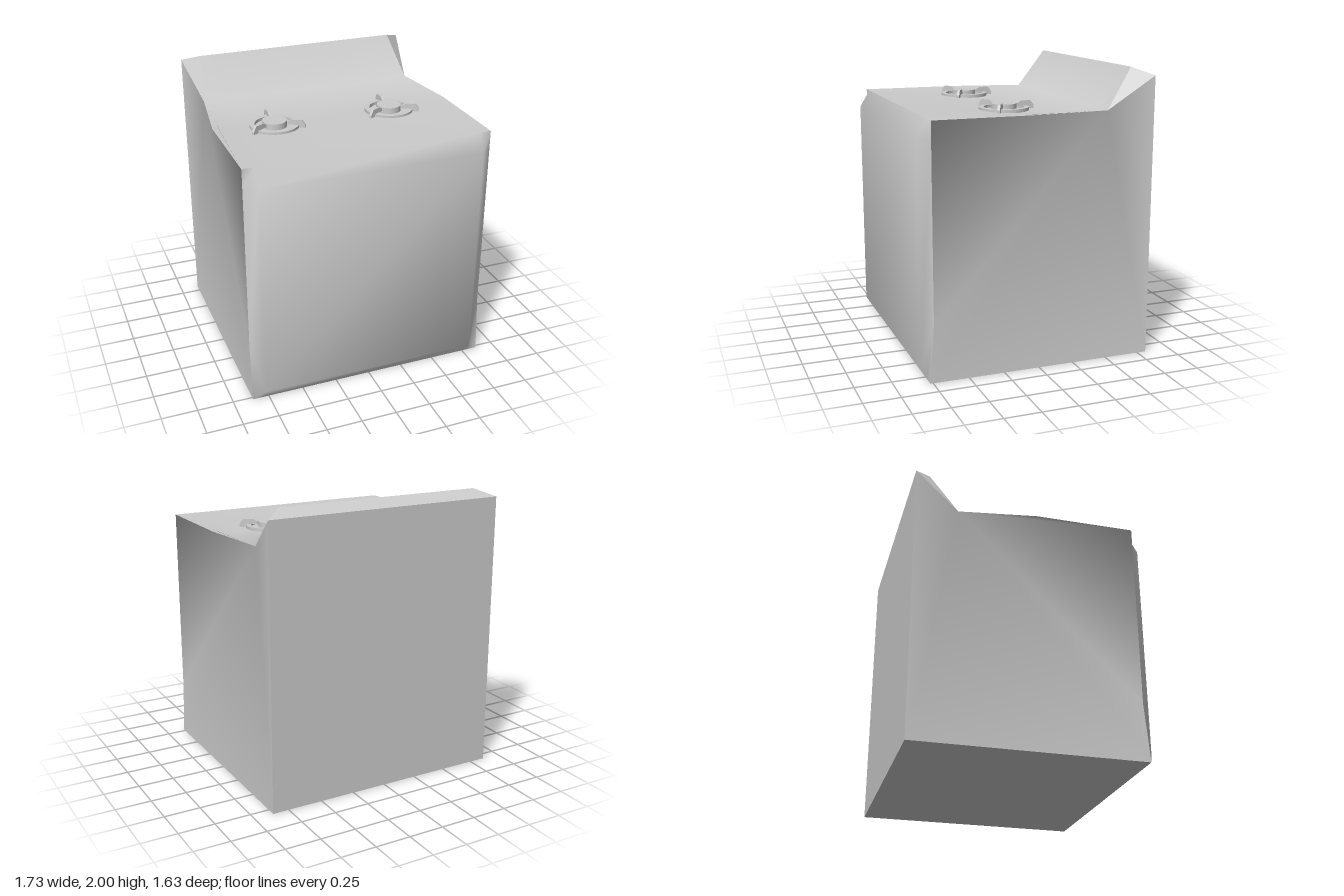
import * as THREE from 'three';

const material = new THREE.MeshStandardMaterial({ color: 0xcccccc });

// Indexed panel whose smooth normals weigh every face equally
function panel(name, points, index) {
  const vectors = points.map((p) => new THREE.Vector3(...p));
  const normals = points.map(() => new THREE.Vector3());
  const face = new THREE.Triangle(), n = new THREE.Vector3();
  for (let i = 0; i < index.length; i += 3) {
    const corners = index.slice(i, i + 3);
    face.set(...corners.map((c) => vectors[c])).getNormal(n);
    corners.forEach((c) => normals[c].add(n));
  }
  const g = new THREE.BufferGeometry().setFromPoints(vectors);
  g.setAttribute('normal', new THREE.Float32BufferAttribute(normals.flatMap((v) => v.normalize().toArray()), 3));
  g.setIndex(index);
  const mesh = new THREE.Mesh(g, material);
  mesh.name = name;
  return mesh;
}

// Smooth sheet through rows of points, each row running from -x to +x
function sheet(name, rows) {
  const n = rows[0].length, index = [];
  for (let r = 0; r < rows.length - 1; r++) {
    for (let c = 0; c < n - 1; c++) {
      const a = r * n + c, d = a + n;
      index.push(a, a + 1, d + 1, a, d + 1, d);
    }
  }
  return panel(name, rows.flat(), index);
}

// Fan around the first point; reversed for the mirrored side
function fan(name, points, flip) {
  const index = [];
  for (let i = 1; i < points.length - 1; i++) {
    index.push(...(flip ? [0, i + 1, i] : [0, i, i + 1]));
  }
  return panel(name, points, index);
}

function createBurner(x) {
  const burner = new THREE.Group();
  burner.name = 'burner';
  burner.position.set(x, 1.7, 0.087);
  const add = (name, geometry) => {
    const mesh = new THREE.Mesh(geometry, material);
    mesh.name = name;
    burner.add(mesh);
    return mesh;
  };

  // Raised cap in the middle
  add('burnerCap', new THREE.CylinderGeometry(0.085, 0.085, 0.051, 32)).position.y = 0.0255;

  // Flat ring around the cap
  const ring = new THREE.Shape().absarc(0, 0, 0.171, 0, Math.PI * 2);
  ring.holes.push(new THREE.Path().absarc(0, 0, 0.137, 0, Math.PI * 2, true));
  add('burnerRing', new THREE.ExtrudeGeometry(ring, { depth: 0.028, bevelEnabled: false, curveSegments: 24 }))
    .rotation.x = -Math.PI / 2;

  // Three hooked pan supports
  const profile = new THREE.Shape([
    [0.09, 0.045], [0.123, 0.064], [0.19, 0.064], [0.216, 0.03], [0.216, 0], [0.185, 0], [0.165, 0.028], [0.09, 0.028],
  ].map(([r, y]) => new THREE.Vector2(r, y)));
  const prong = new THREE.ExtrudeGeometry(profile, { depth: 0.018, bevelEnabled: false });
  prong.translate(0, 0, -0.009);
  for (let i = 0; i < 3; i++) {
    add('panSupport', prong).rotation.y = Math.PI / 2 + i * Math.PI * 2 / 3;
  }
  return burner;
}

export function createModel() {
  const model = new THREE.Group();
  model.name = 'stove';
  const W = 0.865, back = -0.815, top = 1.73;
  // Row of four points: two ends and two inner points at +-inner
  const row = (left, right, y, z, inner = 0.65, yInner = y, zInner = z) => [
    [left, y, z], [-inner, yInner, zInner], [inner, yInner, zInner], [right, y, z],
  ];

  // Bulging front between the side edges
  const frontRows = [
    row(-W, W, 0, 0.77, 0.78),
    row(-W, W, 0.4, 0.74, 0.78, 0.07, 0.813),
    row(-W, W, 1.61, 0.74, 0.78, 1.61, 0.813),
    row(-W, W, top, 0.74, 0.78),
  ];

  // Edge lines across the slightly sunken hob, back guard and base
  const hobFront = row(-W, W, top, 0.74);
  const hobMid = row(-W, W, 1.728, 0.04, 0.65, 1.704);
  const hobBack = row(-0.787, 0.803, 1.724, -0.5, 0.65, 1.716);
  const guardTop = row(-0.753, 0.735, 2, -0.7);
  const guardBack = row(-W, W, 1.95, back);
  const baseBack = row(-W, W, 0, back);
  const baseFront = frontRows[0];

  model.add(
    sheet('ovenFront', frontRows),
    sheet('hobAndBackGuard', [hobFront, hobMid, hobBack, guardTop]),
    sheet('backGuardTop', [guardTop, guardBack]),
    sheet('backPanel', [guardBack, baseBack]),
    sheet('base', [baseBack, baseFront]),
  );

  // Sides and the small triangular ends of the back guard
  for (const i of [0, 3]) {
    const flip = i === 0;
    model.add(
      fan('sidePanel', [hobBack[i], hobMid[i], hobFront[i], frontRows[1][i], baseFront[i], baseBack[i], guardBack[i]], flip),
      fan('backGuardEnd', [guardBack[i], guardTop[i], hobBack[i]], flip),
    );
  }

  model.add(createBurner(-0.441), createBurner(0.409));
  return model;
}
